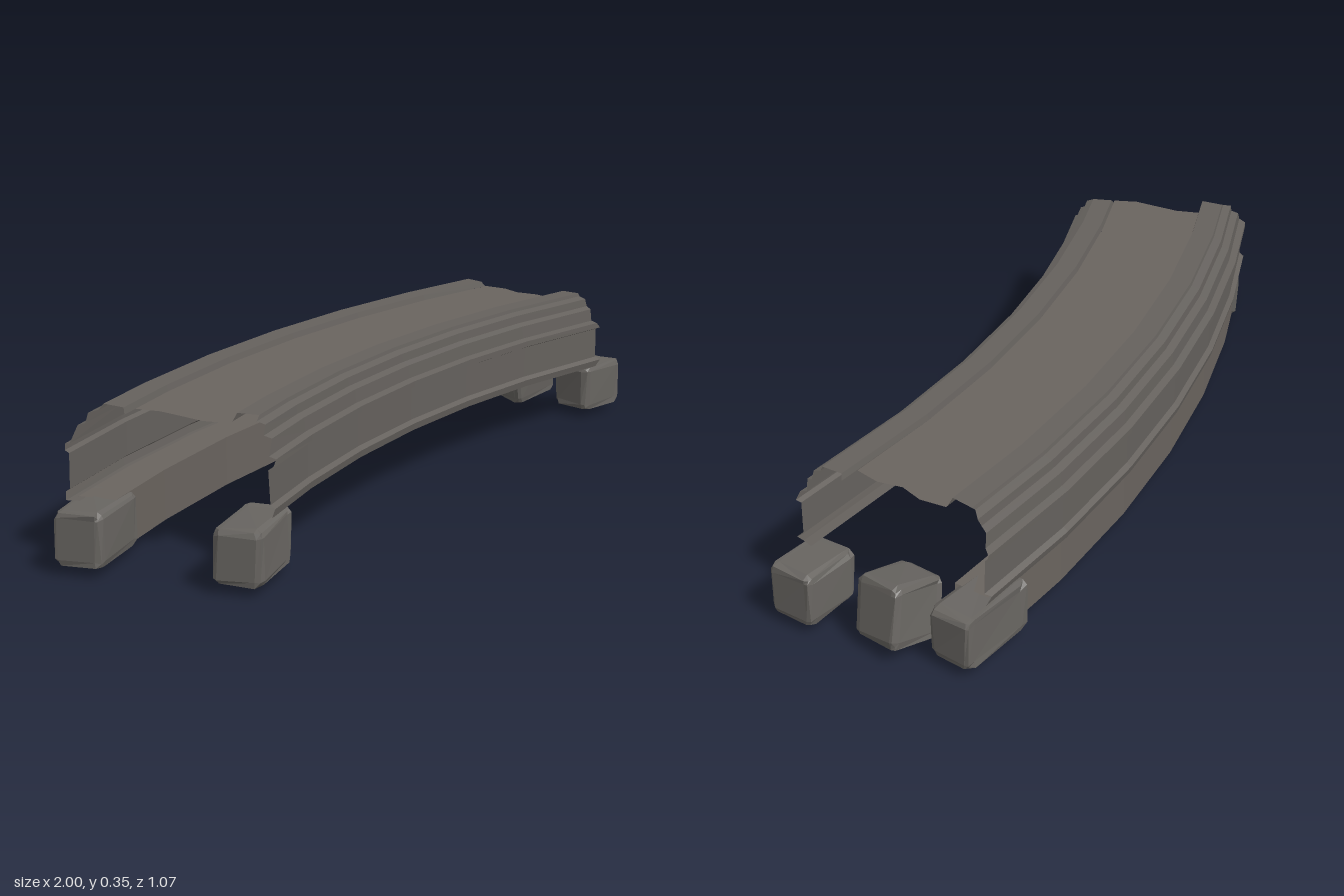
import * as THREE from 'three';

const material = (name, color, extra = {}) => {
  const m = new THREE.MeshStandardMaterial({ color, flatShading: true, side: THREE.DoubleSide, ...extra });
  m.name = name;
  return m;
};

// Centre of the arc on which everything is laid out
const CX = 1.147, CZ = 3.31;
const OUTER = 3.85, INNER = 3.36;
const DEG = Math.PI / 180;

// Repeatable noise in -0.5..0.5
const noise = (a, b = 0, c = 0) => {
  const s = Math.sin(a * 127.1 + b * 311.7 + c * 74.7) * 43758.5453;
  return s - Math.floor(s) - 0.5;
};

const onArc = (r, y, deg) => [CX - r * Math.sin(deg * DEG), y, CZ - r * Math.cos(deg * DEG)];

// Sweep a [radius, height] profile round the arc; range(r, y) gives its two end angles
function sweep(profile, range, segments = 6) {
  const pos = [], index = [], n = profile.length;
  for (let i = 0; i <= segments; i++) {
    for (const [r, y] of profile) {
      const [from, to] = range(r, y);
      let t = 5.2 + 4.65 * i;
      if (i === 0) t = from;
      if (i === segments) t = to;
      pos.push(...onArc(r, y, t));
    }
  }
  for (let i = 0; i < segments; i++) {
    for (let j = 0; j < n - 1; j++) {
      const a = i * n + j, b = a + n;
      index.push(a, b, a + 1, b, b + 1, a + 1);
    }
  }
  const g = new THREE.BufferGeometry();
  g.setAttribute('position', new THREE.Float32BufferAttribute(pos, 3));
  g.setIndex(index);
  const flat = g.toNonIndexed();
  flat.computeVertexNormals();
  return flat;
}

// Rough stone block: a box with worn corners and uneven faces
function stoneBlock(w, h, d, seed) {
  const g = new THREE.BoxGeometry(w, h, d, 3, 3, 3);
  const p = g.attributes.position, half = [w / 2, h / 2, d / 2];
  for (let i = 0; i < p.count; i++) {
    const v = [p.getX(i), p.getY(i), p.getZ(i)];
    const sides = v.filter((c, k) => Math.abs(c) > half[k] * 0.99).length;
    const q = v.map(c => Math.round(c * 1000));
    const wear = [1, 1, 0.965, 0.9][sides];
    const out = v.map((c, k) => {
      // spread inner rows towards the edges so the bevels stay narrow
      const s = Math.abs(c) < half[k] * 0.9 ? 2.3 : wear;
      return c * s + noise(q[0] + seed, q[1] + k * 3, q[2]) * 0.007;
    });
    p.setXYZ(i, ...out);
  }
  const flat = g.toNonIndexed();
  flat.computeVertexNormals();
  return flat;
}

// Cornice moulding: [inset from the outer face, height], bottom to top
const moulding = [
  [0.035, 0.152], [0.004, 0.152], [0, 0.17], [0.012, 0.178], [0.012, 0.26],
  [0, 0.265], [0, 0.28], [0.018, 0.285], [0.021, 0.318], [0.04, 0.324],
  [0.042, 0.345], [0.063, 0.351], [0.065, 0.36], [0.122, 0.36], [0.126, 0.345],
];

export function createModel() {
  const group = new THREE.Group();
  const wallStone = material('wall stone', 0x65615d);
  const deckStone = material('deck stone', 0x6a645f);
  const blockStone = material('block stone', 0x686561, { side: THREE.FrontSide });

  const add = (name, geometry, mat) => {
    const mesh = new THREE.Mesh(geometry, mat);
    mesh.name = name;
    group.add(mesh);
    return mesh;
  };

  // Broken ends: higher courses stop a little earlier
  const ragged = (start, end) => (r, y) => {
    const k = Math.max(0, (y - 0.27) / 0.09);
    return [start + 0.5 * k + 0.35 * noise(r * 90, y * 50), end - 1.1 * k + 0.4 * noise(y * 70, r * 40)];
  };

  // Two moulded walls and the sunken deck between them
  add('outerCornice', sweep(moulding.map(([d, y]) => [OUTER - d, y]), ragged(5.3, 32.7)), wallStone);
  add('innerCornice', sweep(moulding.map(([d, y]) => [INNER + d * 0.92, y]).reverse(), ragged(4.3, 32.3)), wallStone);
  const deck = [3.724, 3.66, 3.6, 3.54, 3.476].map(r => [r, 0.345]);
  add('deck', sweep(deck, r => [5.55 + 0.3 * noise(r * 33), 31.4 + 0.9 * noise(r * 57)]), deckStone);

  // Plinth under the outer wall only
  const plinth = [[3.832, 0.03], [3.832, 0.153], [3.74, 0.153], [3.74, 0.03], [3.832, 0.03]];
  add('outerPlinth', sweep(plinth, () => [5.6, 32.2]), deckStone);

  // Corner blocks: name, centre x, centre z, length, depth, turn in degrees
  const blocks = [
    ['outerRightBlock', -0.885, 0.12, 0.2, 0.112, 33],
    ['innerRightBlock', -0.683, 0.437, 0.2, 0.112, 33],
    ['outerLeftBlock', 0.775, -0.477, 0.21, 0.108, 5],
    ['innerLeftBlock', 0.92, -0.105, 0.155, 0.115, 5],
  ];
  blocks.forEach(([name, x, z, length, depth, turn], i) => {
    const b = add(name, stoneBlock(length, 0.125, depth, i * 17 + 5), blockStone);
    b.position.set(x, 0.09, z);
    b.rotation.y = turn * DEG;
  });

  // Loose block tipped over between the left-hand corners
  const loose = add('looseBlock', stoneBlock(0.14, 0.145, 0.125, 91), blockStone);
  loose.position.set(0.863, 0.095, -0.322);
  loose.rotation.set(0.12, -0.06, 0.22);

  return group;
}
